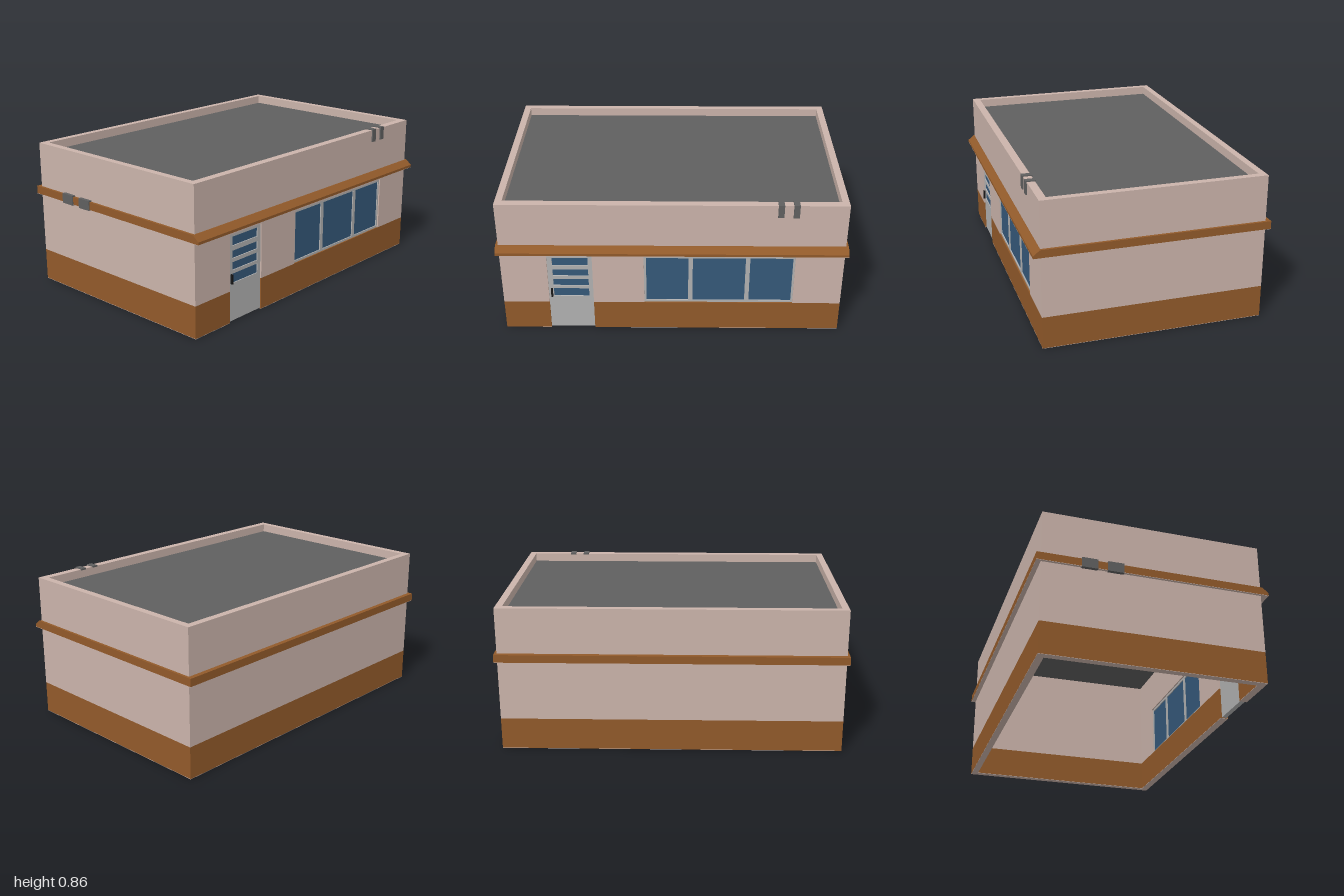
import * as THREE from 'three';

const mat = (color) => new THREE.MeshStandardMaterial({ color, flatShading: true });

export function createModel() {
  const model = new THREE.Group();
  const plaster = mat(0xcbb4ab), brown = mat(0x925a2a), roofGrey = mat(0x606060);
  const glass = mat(0x35597a), frame = mat(0xb2b2b2), black = mat(0x181818);

  const add = (name, geometry, material, parent = model) => {
    const mesh = new THREE.Mesh(geometry, material);
    mesh.name = name;
    parent.add(mesh);
    return mesh;
  };
  // Box given by its limits on each axis
  const box = (name, material, [x0, x1], [y0, y1], [z0, z1], parent) => {
    const g = new THREE.BoxGeometry(x1 - x0, y1 - y0, z1 - z0);
    g.translate((x0 + x1) / 2, (y0 + y1) / 2, (z0 + z1) / 2);
    return add(name, g, material, parent);
  };
  const rect = (Type, [x0, x1], [y0, y1]) => new Type(
    [[x0, y0], [x1, y0], [x1, y1], [x0, y1]].map((p) => new THREE.Vector2(...p)));
  // Flat panel facing z, with rectangular openings
  const panel = (name, material, shape, holes, [z0, z1], parent) => {
    shape.holes = holes.map(([x, y]) => rect(THREE.Path, x, y));
    const g = new THREE.ExtrudeGeometry(shape, { depth: z1 - z0, bevelEnabled: false });
    g.translate(0, 0, z0);
    return add(name, g, material, parent);
  };

  const W = 0.98, IN = 0.94, H = 0.85, BASE = 0.187;
  const BACK = [-0.64, -0.6], FRONT = [0.58, 0.625], INSIDE = [-0.6, 0.58];
  const doorX = [-0.714, -0.455], doorTop = 0.51;
  const winX = [-0.16, 0.703], winY = [BASE, 0.51];

  // Back and side walls in two bands, on a thin plaster footing
  const bands = [['footing', plaster, [0, 0.002]], ['baseBand', brown, [0.002, BASE]], ['upperWall', plaster, [BASE, H]]];
  for (const [name, material, y] of bands) {
    box(name + 'Back', material, [-W, W], y, BACK);
    box(name + 'Right', material, [-W, -IN], y, INSIDE);
    box(name + 'Left', material, [IN, W], y, INSIDE);
    if (material === brown || name === 'footing') {
      box(name + 'FrontRight', material, [-W, doorX[0]], y, FRONT);
      box(name + 'FrontLeft', material, [doorX[1], W], y, FRONT);
    }
  }

  // Upper front wall, notched for door and window
  const front = new THREE.Shape([
    [-W, BASE], [doorX[0], BASE], [doorX[0], doorTop], [doorX[1], doorTop], [doorX[1], BASE],
    [winX[0], BASE], [winX[0], winY[1]], [winX[1], winY[1]], [winX[1], BASE],
    [W, BASE], [W, H], [-W, H],
  ].map((p) => new THREE.Vector2(...p)));
  panel('upperWallFront', plaster, front, [], FRONT);

  // Roof deck, sunk behind the parapet
  box('roof', roofGrey, [-IN, IN], [0.775, 0.8], INSIDE);

  // Window: frame with three panes
  const windowGroup = new THREE.Group();
  windowGroup.name = 'window';
  model.add(windowGroup);
  const panes = [[-0.147, 0.095], [0.12, 0.422], [0.447, 0.692]].map((x) => [x, [0.2, 0.495]]);
  panel('windowFrame', frame, rect(THREE.Shape, winX, winY), panes, [0.588, 0.617], windowGroup);
  for (const [x, y] of panes) box('windowPane', glass, x, y, [0.594, 0.611], windowGroup);

  // Door: leaf with four glazed slots and a handle
  const door = new THREE.Group();
  door.name = 'door';
  model.add(door);
  const slots = [[0.225, 0.28], [0.3, 0.346], [0.368, 0.412], [0.44, 0.492]].map((y) => [[-0.685, -0.48], y]);
  panel('doorLeaf', frame, rect(THREE.Shape, doorX, [0.005, doorTop]), slots, [0.588, 0.617], door);
  for (const [x, y] of slots) box('doorGlass', glass, x, y, [0.594, 0.611], door);
  box('doorHandle', black, [-0.701, -0.691], [0.225, 0.28], [0.617, 0.63], door);

  // Trim around the building; the front run has a sloped top
  const T = 0.995, trimY = [0.54, 0.585];
  box('trimBack', brown, [-T, T], trimY, [-0.667, -0.64]);
  for (const s of [-1, 1]) {
    box('trimSide', brown, s < 0 ? [-T, -W] : [W, T], trimY, [-0.64, 0.625]);
  }
  const profile = new THREE.Shape([[0.625, 0.54], [0.667, 0.54], [0.667, 0.555], [0.63, 0.585], [0.625, 0.585]]
    .map(([z, y]) => new THREE.Vector2(-z, y)));
  const trimFront = new THREE.ExtrudeGeometry(profile, { depth: 2 * T, bevelEnabled: false });
  trimFront.translate(0, 0, -T).rotateY(Math.PI / 2);
  add('trimFront', trimFront, brown);

  // Plaster underside of the trim
  const soffit = rect(THREE.Shape, [-T, T], [-0.667, 0.667]);
  soffit.holes = [rect(THREE.Path, [-W, W], [-0.625, 0.64])];
  const soffitGeo = new THREE.ExtrudeGeometry(soffit, { depth: 0.002, bevelEnabled: false });
  soffitGeo.rotateX(-Math.PI / 2).translate(0, 0.538, 0);
  add('trimUnderside', soffitGeo, plaster);

  // Pair of angle brackets hooked over the front parapet
  for (const x of [[0.586, 0.62], [0.671, 0.705]]) {
    const bracket = new THREE.Group();
    bracket.name = 'parapetBracket';
    model.add(bracket);
    box('bracketTop', roofGrey, x, [0.846, 0.856], [0.574, 0.633], bracket);
    box('bracketFace', roofGrey, x, [0.777, 0.846], [0.624, 0.633], bracket);
  }

  // Pair of clips over the trim on the right wall
  for (const z of [[-0.42, -0.33], [-0.275, -0.185]]) {
    box('trimClip', roofGrey, [-1, -0.978], [0.534, 0.592], z);
  }
  return model;
}
